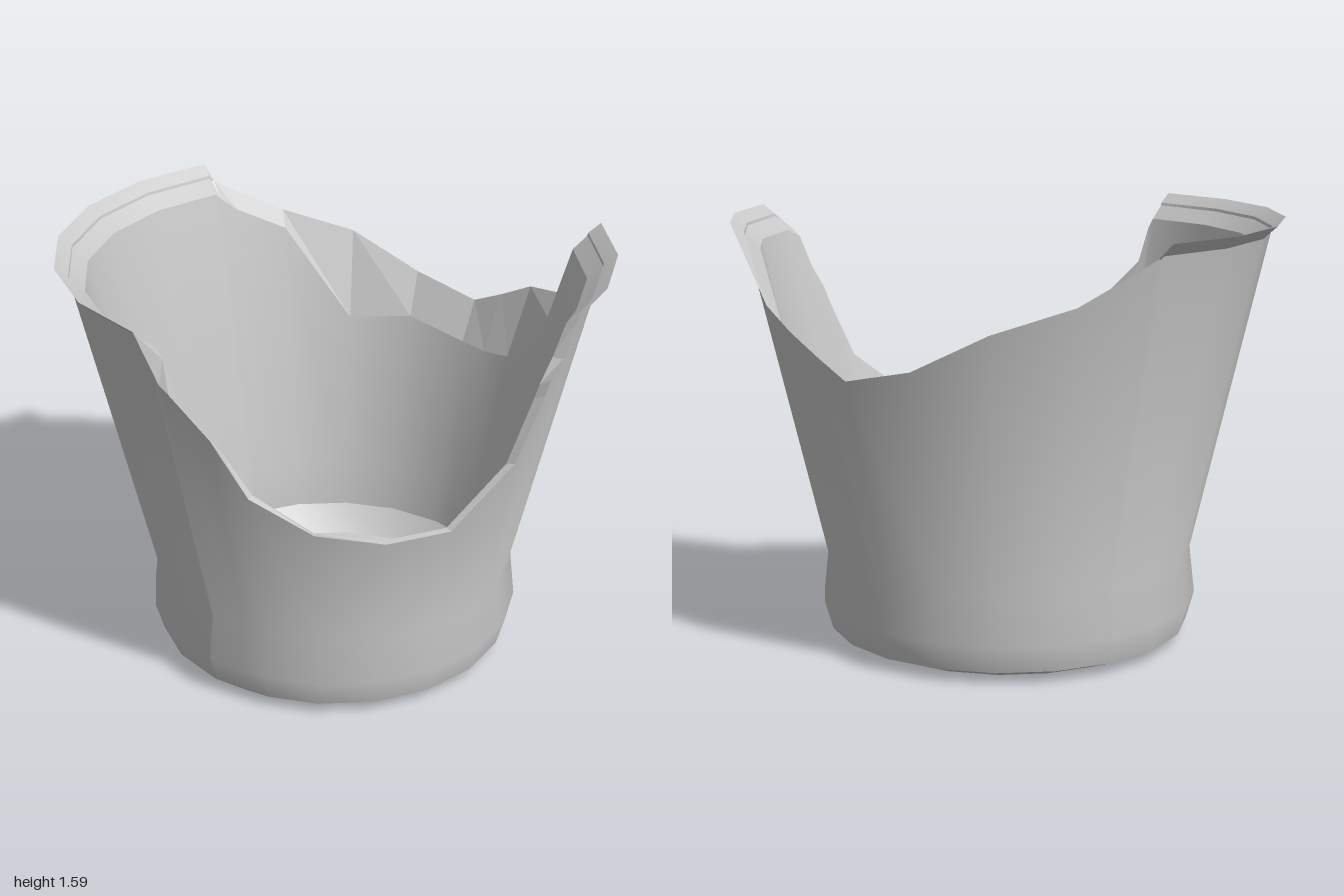
import * as THREE from 'three';
import { toCreasedNormals } from 'three/addons/utils/BufferGeometryUtils.js';

const SIDES = 20, STEP = 360 / SIDES, CX = 0.065, CZ = 0.02, TOP = 1.585;

// Wall profiles as [radius, height]
const OUTER = [[0.57, 0], [0.68, 0.045], [0.71, 0.15], [0.69, 0.33], [0.972, 1.55], [1.02, TOP]];
const INNER = [[0.59, 0.045], [0.66, 0.15], [0.668, 0.33], [0.915, 1.49], [1.02, TOP]];

// Broken edge around the pot: [degrees from +x towards +z, outer height, inner height]
const EDGE = [
  [-72, TOP, TOP], [-71, 1.53, 1.47], [-67, 1.49, 1.42], [-54, 1.38, 1.32], [-36, 1.29, 0.95],
  [-18, 1.15, 0.98], [0, 1.09, 0.93], [9, 1.155, 0.93], [18, 1.23, 0.95], [33, 1.29, 1.2],
  [36, TOP, TOP], [54, TOP, TOP], [72, TOP, TOP],
  [76, 1.5, 1.46], [78.5, 1.34, 1.34], [82, 1.28, 1.25], [83, 1.22, 1.2], [90, 0.98, 0.97],
  [108, 0.78, 0.78], [126, 0.78, 0.78], [144, 0.83, 0.82], [160, 0.96, 0.96], [168, 1.18, 1.14],
  [177, 1.33, 1.28], [179, 1.36, 1.45], [180, TOP, TOP],
  [198, TOP, TOP], [216, TOP, TOP], [234, TOP, TOP], [252, TOP, TOP], [270, TOP, TOP], [288, TOP, TOP],
];

// Radius of a profile at height y
function radiusAt(profile, y) {
  for (let i = 1; i < profile.length; i++) {
    const [r0, y0] = profile[i - 1], [r1, y1] = profile[i];
    if (y <= y1) return r0 + (r1 - r0) * (y - y0) / (y1 - y0);
  }
  return profile[profile.length - 1][0];
}

// Point on the faceted wall
function wallPoint(profile, deg, y) {
  const within = ((deg % STEP) + STEP) % STEP;
  const rad = THREE.MathUtils.degToRad;
  const r = radiusAt(profile, y) * Math.cos(rad(STEP / 2)) / Math.cos(rad(within - STEP / 2));
  return new THREE.Vector3(CX + r * Math.cos(rad(deg)), y, CZ + r * Math.sin(rad(deg)));
}

// Two triangles, leaving out those that collapse to nothing
function addQuad(out, a, b, c, d) {
  for (const t of [[a, b, c], [a, c, d]]) {
    if (new THREE.Triangle(...t).getArea() > 1e-6) t.forEach((p) => out.push(p));
  }
}

// One wall skin, cut off at the broken edge
function skin(profile, column, flip) {
  const points = [];
  const columns = EDGE.map((e) => profile.map(([, y]) => wallPoint(profile, e[0], Math.min(y, e[column]))));
  for (let i = 1; i < columns.length; i++) {
    for (let j = 1; j < profile.length; j++) {
      const q = [columns[i - 1][j - 1], columns[i - 1][j], columns[i][j], columns[i][j - 1]];
      addQuad(points, ...(flip ? q.reverse() : q));
    }
  }
  return toCreasedNormals(new THREE.BufferGeometry().setFromPoints(points), 0.5);
}

// Fracture surface joining the outer and inner skins
function fracture() {
  const points = [];
  for (let i = 1; i < EDGE.length; i++) {
    const [d0, o0, i0] = EDGE[i - 1], [d1, o1, i1] = EDGE[i];
    addQuad(points, wallPoint(OUTER, d0, o0), wallPoint(INNER, d0, i0),
      wallPoint(INNER, d1, i1), wallPoint(OUTER, d1, o1));
  }
  const geometry = new THREE.BufferGeometry().setFromPoints(points);
  geometry.computeVertexNormals();
  return geometry;
}

// Flat disc, facing up or down
function disc([radius, y], up) {
  return new THREE.CircleGeometry(radius, SIDES)
    .rotateX(up ? -Math.PI / 2 : Math.PI / 2).translate(CX, y, CZ);
}

export function createModel() {
  const group = new THREE.Group();
  group.name = 'brokenPot';
  const material = new THREE.MeshStandardMaterial({ color: 0xcccccc, side: THREE.DoubleSide });
  const add = (name, geometry) => {
    const mesh = new THREE.Mesh(geometry, material);
    mesh.name = name;
    group.add(mesh);
  };
  add('outerWall', skin(OUTER, 1, false));
  add('innerWall', skin(INNER, 2, true));
  add('brokenEdge', fracture());
  add('base', disc(OUTER[0], false));
  add('innerFloor', disc(INNER[0], true));
  return group;
}
